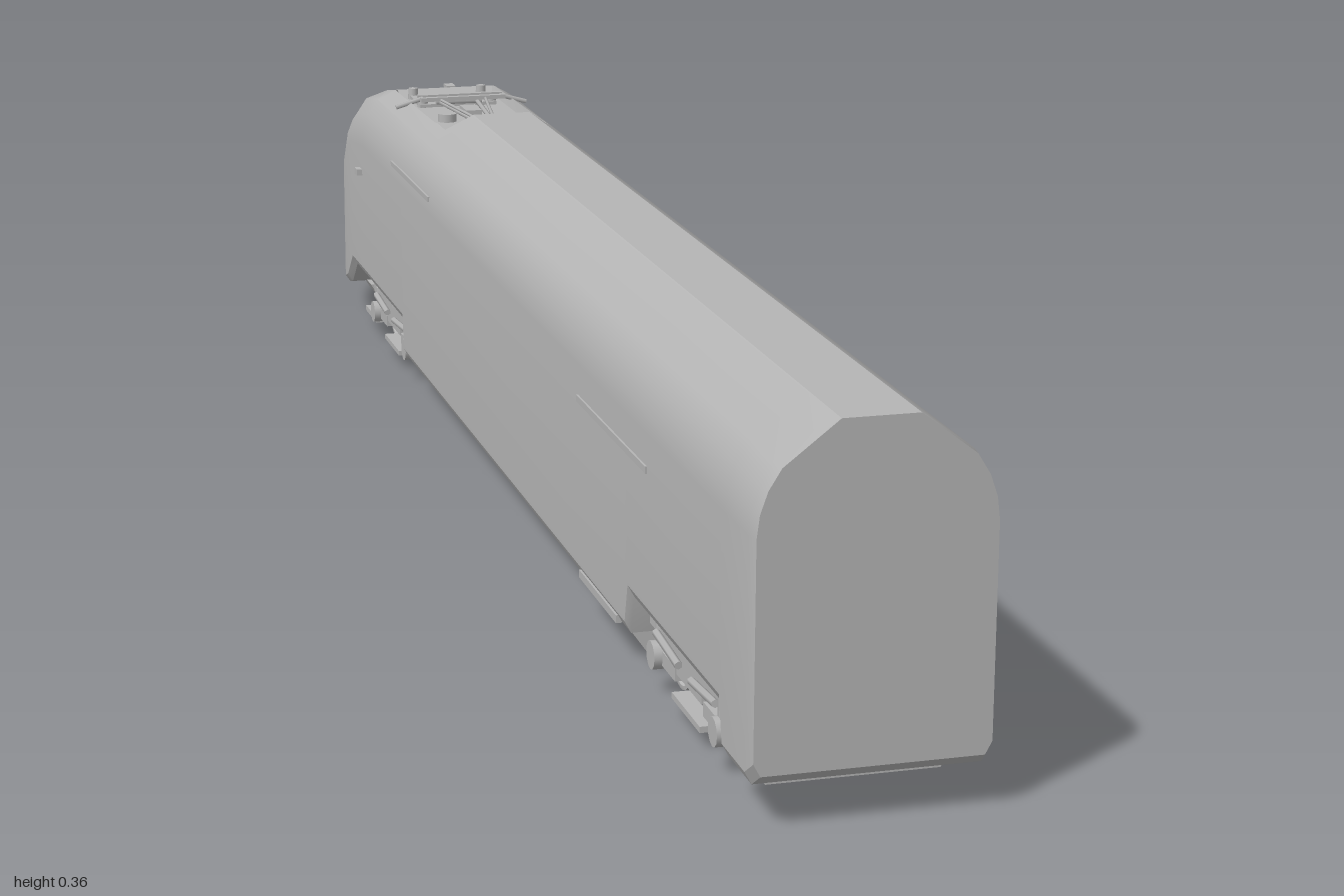
import * as THREE from 'three';
import { toCreasedNormals } from 'three/addons/utils/BufferGeometryUtils.js';

const paint = new THREE.MeshStandardMaterial({ color: 0xb4b4b4 });
paint.name = 'grey paint';

function add(parent, name, geometry, x = 0, y = 0, z = 0) {
  const mesh = new THREE.Mesh(geometry, paint);
  mesh.name = name;
  mesh.position.set(x, y, z);
  parent.add(mesh);
  return mesh;
}
const box = (parent, name, w, h, d, x, y, z) => add(parent, name, new THREE.BoxGeometry(w, h, d), x, y, z);

function rod(parent, name, a, b, r = 0.003) {
  const from = new THREE.Vector3(...a), to = new THREE.Vector3(...b);
  const dir = to.clone().sub(from);
  const mesh = add(parent, name, new THREE.CylinderGeometry(r, r, dir.length(), 6));
  mesh.position.copy(from).add(to).multiplyScalar(0.5);
  mesh.quaternion.setFromUnitVectors(new THREE.Vector3(0, 1, 0), dir.normalize());
}

// Body stations: z, half width, bottom, top, half width of roof flat, floor of the roof well
const stations = [
  [1, 0.107, 0.055, 0.364, 0.035, 0.364],
  [0.985, 0.11, 0.043, 0.364, 0.035, 0.364],
  [0.92, 0.11, 0.043, 0.364, 0.035, 0.364],
  [0.91, 0.11, 0.085, 0.364, 0.035, 0.364],
  [0.615, 0.11, 0.085, 0.364, 0.035, 0.364],
  [0.605, 0.11, 0.045, 0.364, 0.035, 0.364],
  [-0.36, 0.11, 0.045, 0.364, 0.035, 0.364],
  [-0.385, 0.11, 0.045, 0.342, 0.065, 0.34],
  [-0.42, 0.11, 0.045, 0.342, 0.065, 0.328],
  [-0.43, 0.11, 0.045, 0.342, 0.065, 0.328],
  [-0.44, 0.11, 0.088, 0.341, 0.066, 0.328],
  [-0.68, 0.11, 0.088, 0.338, 0.066, 0.328],
  [-0.69, 0.11, 0.088, 0.337, 0.065, 0.337],
  [-0.77, 0.11, 0.088, 0.322, 0.06, 0.322],
  [-0.81, 0.109, 0.055, 0.303, 0.058, 0.303],
  [-0.85, 0.105, 0.044, 0.266, 0.058, 0.266],
  [-0.9, 0.096, 0.043, 0.213, 0.056, 0.213],
  [-0.95, 0.081, 0.045, 0.155, 0.052, 0.155],
  [-0.985, 0.066, 0.05, 0.108, 0.046, 0.108],
  [-1, 0.054, 0.06, 0.08, 0.04, 0.08],
];

function halfSection([, w, b, h, f, floor]) {
  const k = Math.min(1, (h - 0.045) / 0.29);
  const y = v => 0.045 + (v - 0.045) * k;
  return [
    [0.94 * w, b], [w, b + 0.012 * k], [w, Math.max(y(0.265), b + 0.014 * k)],
    [0.975 * w, y(0.286)], [0.91 * w, y(0.306)], [0.8 * w, Math.min(y(0.325), h)],
    [f, h], [f - 0.004, floor],
  ];
}

function bodyGeometry() {
  const pos = [], index = [];
  const n = 16;
  for (const s of stations) {
    const half = halfSection(s);
    for (const [x, y] of half) pos.push(x, y, s[0]);
    for (const [x, y] of half.reverse()) pos.push(-x, y, s[0]);
  }
  for (let i = 0; i < stations.length - 1; i++) {
    for (let j = 0; j < n; j++) {
      const a = i * n + j, b = i * n + (j + 1) % n;
      index.push(a, a + n, b, b, a + n, b + n);
    }
  }
  // End caps
  const last = (stations.length - 1) * n;
  for (let j = 1; j < n - 1; j++) {
    index.push(0, j, j + 1);
    index.push(last, last + j + 1, last + j);
  }
  const g = new THREE.BufferGeometry();
  g.setAttribute('position', new THREE.Float32BufferAttribute(pos, 3));
  g.setIndex(index);
  return toCreasedNormals(g, 0.5);
}

// Tapered box running along z between z0 and z1
function trough(parent, name, topHalf, bottomHalf, y1, y0, z0, z1) {
  const shape = new THREE.Shape([
    new THREE.Vector2(-bottomHalf, y0), new THREE.Vector2(bottomHalf, y0),
    new THREE.Vector2(topHalf, y1), new THREE.Vector2(-topHalf, y1)]);
  add(parent, name, new THREE.ExtrudeGeometry(shape, { depth: z1 - z0, bevelEnabled: false }), 0, 0, z0);
}

function wheelGeometry() {
  const p = [[0, -0.007], [0.012, -0.007], [0.016, -0.003], [0.028, -0.003], [0.03, -0.007],
    [0.034, -0.007], [0.034, 0.004], [0.037, 0.005], [0.037, 0.008], [0, 0.008]];
  const g = new THREE.LatheGeometry(p.map(q => new THREE.Vector2(...q)), 24);
  return toCreasedNormals(g, 0.5);
}

function bogie(z) {
  const g = new THREE.Group();
  g.name = 'bogie';
  g.position.z = z;
  const wheel = wheelGeometry();
  for (const dz of [-0.1, 0.1]) {
    rod(g, 'axle', [-0.09, 0.04, dz], [0.09, 0.04, dz], 0.008);
    box(g, 'motor', 0.08, 0.035, 0.06, 0, 0.048, dz * 0.55);
    for (const s of [-1, 1]) {
      const w = add(g, 'wheel', wheel, s * 0.063, 0.04, dz);
      w.rotation.z = s * Math.PI / 2;
      const cap = add(g, 'axleBox', new THREE.CylinderGeometry(0.014, 0.014, 0.024, 12), s * 0.088, 0.042, dz);
      cap.rotation.z = Math.PI / 2;
      box(g, 'axleArm', 0.012, 0.014, 0.06, s * 0.086, 0.042, dz * 0.75);
      add(g, 'axleSpring', new THREE.CylinderGeometry(0.009, 0.009, 0.025, 10), s * 0.086, 0.062, dz);
      box(g, 'brakeBlock', 0.014, 0.026, 0.01, s * 0.063, 0.04, dz * 0.55);
      rod(g, 'damper', [s * 0.096, 0.06, dz * 0.2], [s * 0.096, 0.066, dz * 0.95], 0.004);
    }
  }
  for (const s of [-1, 1]) {
    box(g, 'sideFrame', 0.014, 0.014, 0.26, s * 0.085, 0.07, 0);
    box(g, 'frameDip', 0.014, 0.022, 0.08, s * 0.085, 0.055, 0);
    box(g, 'footPlate', 0.018, 0.006, 0.09, s * 0.086, 0.022, 0);
    add(g, 'airSpring', new THREE.CylinderGeometry(0.02, 0.02, 0.02, 14), s * 0.075, 0.083, 0);
  }
  box(g, 'bolster', 0.17, 0.022, 0.06, 0, 0.07, 0);
  box(g, 'centreTray', 0.12, 0.006, 0.08, 0, 0.024, 0);
  return g;
}

function pantograph() {
  const g = new THREE.Group();
  g.name = 'pantograph';
  box(g, 'baseFrame', 0.1, 0.004, 0.08, 0, 0.331, -0.64);
  for (const s of [-1, 1]) {
    rod(g, 'lowerArm', [s * 0.025, 0.335, -0.61], [s * 0.008, 0.337, -0.43]);
    rod(g, 'upperArm', [s * 0.008, 0.341, -0.43], [s * 0.03, 0.343, -0.58], 0.002);
    rod(g, 'horn', [s * 0.05, 0.344, -0.585], [s * 0.085, 0.334, -0.585]);
    for (const z of [-0.61, -0.67]) {
      add(g, 'insulator', new THREE.CylinderGeometry(0.006, 0.007, 0.016, 10), s * 0.045, 0.334, z);
    }
  }
  for (const z of [-0.575, -0.595]) box(g, 'contactStrip', 0.11, 0.005, 0.007, 0, 0.344, z);
  rod(g, 'crossShaft', [-0.03, 0.336, -0.6], [0.03, 0.336, -0.6], 0.004);
  box(g, 'raisingDrive', 0.02, 0.01, 0.04, 0, 0.335, -0.53);
  add(g, 'airReservoir', new THREE.CylinderGeometry(0.012, 0.012, 0.01, 12), -0.035, 0.333, -0.51);
  return g;
}

export function createModel() {
  const train = new THREE.Group();
  train.name = 'locomotive';
  add(train, 'body', bodyGeometry());

  // Underframe and ends
  trough(train, 'underframe', 0.103, 0.086, 0.046, 0.022, -0.43, 0.605);
  trough(train, 'rearUnderframe', 0.09, 0.08, 0.046, 0.026, 0.915, 0.95);
  trough(train, 'noseSkirt', 0.08, 0.065, 0.05, 0.026, -0.89, -0.8);
  for (const s of [-1, 1]) box(train, 'railGuard', 0.03, 0.007, 0.07, s * 0.075, 0.022, -0.75);

  train.add(bogie(0.76), bogie(-0.585), pantograph());

  // Side strips, door steps, cameras and lamps
  for (const s of [-1, 1]) {
    box(train, 'rearSideStrip', 0.004, 0.007, 0.25, s * 0.11, 0.23, 0.555);
    box(train, 'frontSideStrip', 0.004, 0.006, 0.22, s * 0.108, 0.28, -0.39);
    box(train, 'sideStep', 0.006, 0.008, 0.14, s * 0.106, 0.047, 0.5);
    box(train, 'sideCamera', 0.01, 0.008, 0.016, s * 0.112, 0.229, -0.7);
    const edge = stations.slice(15, 18).map(st => {
      const [x, y] = halfSection(st)[5];
      return new THREE.Vector3(s * x, y, st[0]);
    });
    add(train, 'lampStrip', new THREE.TubeGeometry(new THREE.CatmullRomCurve3(edge), 8, 0.002, 6));
  }
  box(train, 'roofAntenna', 0.012, 0.008, 0.02, 0.032, 0.316, -0.8);
  rod(train, 'wiper', [0, 0.157, -0.95], [0.03, 0.215, -0.9], 0.0015);
  return train;
}
